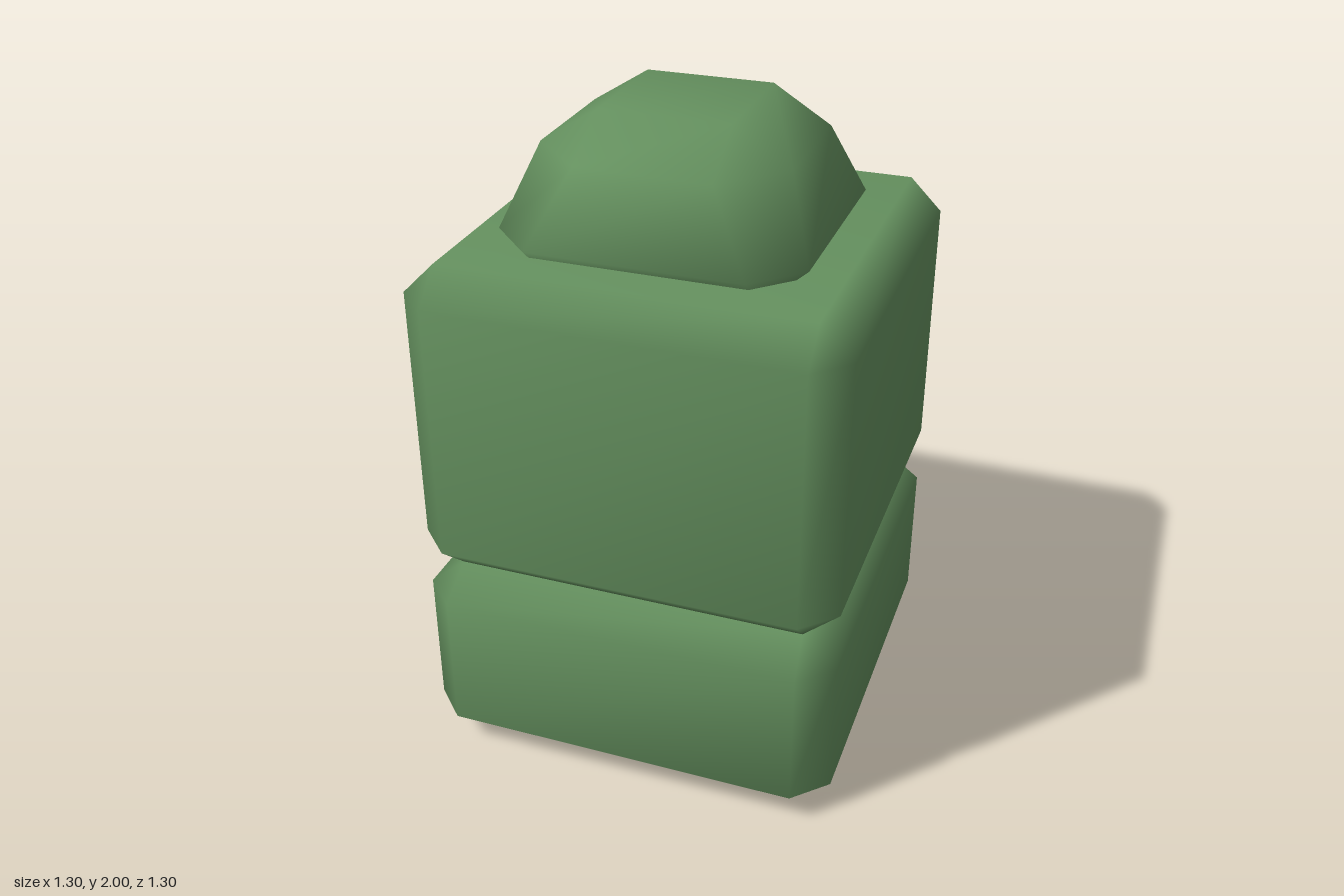
import * as THREE from 'three';
import { mergeVertices } from 'three/addons/utils/BufferGeometryUtils.js';

// Bevelled block lofted through eight-point rings [y, halfWidth, halfFlat];
// a ring with halfFlat equal to halfWidth is a plain square.
function bevelledBlock(rings) {
  const points = [];
  const faces = [];
  for (const [y, h, f] of rings) {
    const outline = [[h, -f], [h, f], [f, h], [-f, h], [-h, f], [-h, -f], [-f, -h], [f, -h]];
    for (const [x, z] of outline) points.push(x, y, z);
  }
  for (let r = 0; r < rings.length - 1; r++) {
    for (let i = 0; i < 8; i++) {
      const a = r * 8 + i, b = r * 8 + (i + 1) % 8;
      faces.push([a, a + 8, b], [b, a + 8, b + 8]);
    }
  }
  // Bottom and top caps
  const top = (rings.length - 1) * 8;
  for (let i = 1; i < 7; i++) {
    faces.push([0, i, i + 1], [top, top + i + 1, top + i]);
  }
  let geometry = new THREE.BufferGeometry();
  geometry.setAttribute('position', new THREE.Float32BufferAttribute(points, 3));
  geometry.setIndex(faces.flat());
  geometry = mergeVertices(geometry);

  // Drop the triangles collapsed at square corners, then smooth
  const old = geometry.index.array, kept = [];
  for (let i = 0; i < old.length; i += 3) {
    const [a, b, c] = [old[i], old[i + 1], old[i + 2]];
    if (a !== b && b !== c && a !== c) kept.push(a, b, c);
  }
  geometry.setIndex(kept);
  geometry.computeVertexNormals();
  return geometry;
}

export function createModel() {
  const model = new THREE.Group();
  model.name = 'stackedBlocks';
  const green = new THREE.MeshStandardMaterial({ color: 0x65915f });
  green.name = 'leafGreen';

  const parts = {
    baseBlock: [[0, 0.53, 0.53], [0.1, 0.65, 0.55], [0.54, 0.65, 0.55], [0.63, 0.54, 0.54]],
    bodyBlock: [[0.63, 0.54, 0.54], [0.73, 0.65, 0.55], [1.53, 0.65, 0.55], [1.63, 0.55, 0.55]],
    // Tapered cap, its underside sunk into the body
    topCap: [[1.54, 0.32, 0.32], [1.66, 0.457, 0.32], [1.89, 0.37, 0.2], [2, 0.195, 0.195]],
  };
  for (const [name, rings] of Object.entries(parts)) {
    const mesh = new THREE.Mesh(bevelledBlock(rings), green);
    mesh.name = name;
    model.add(mesh);
  }
  return model;
}
